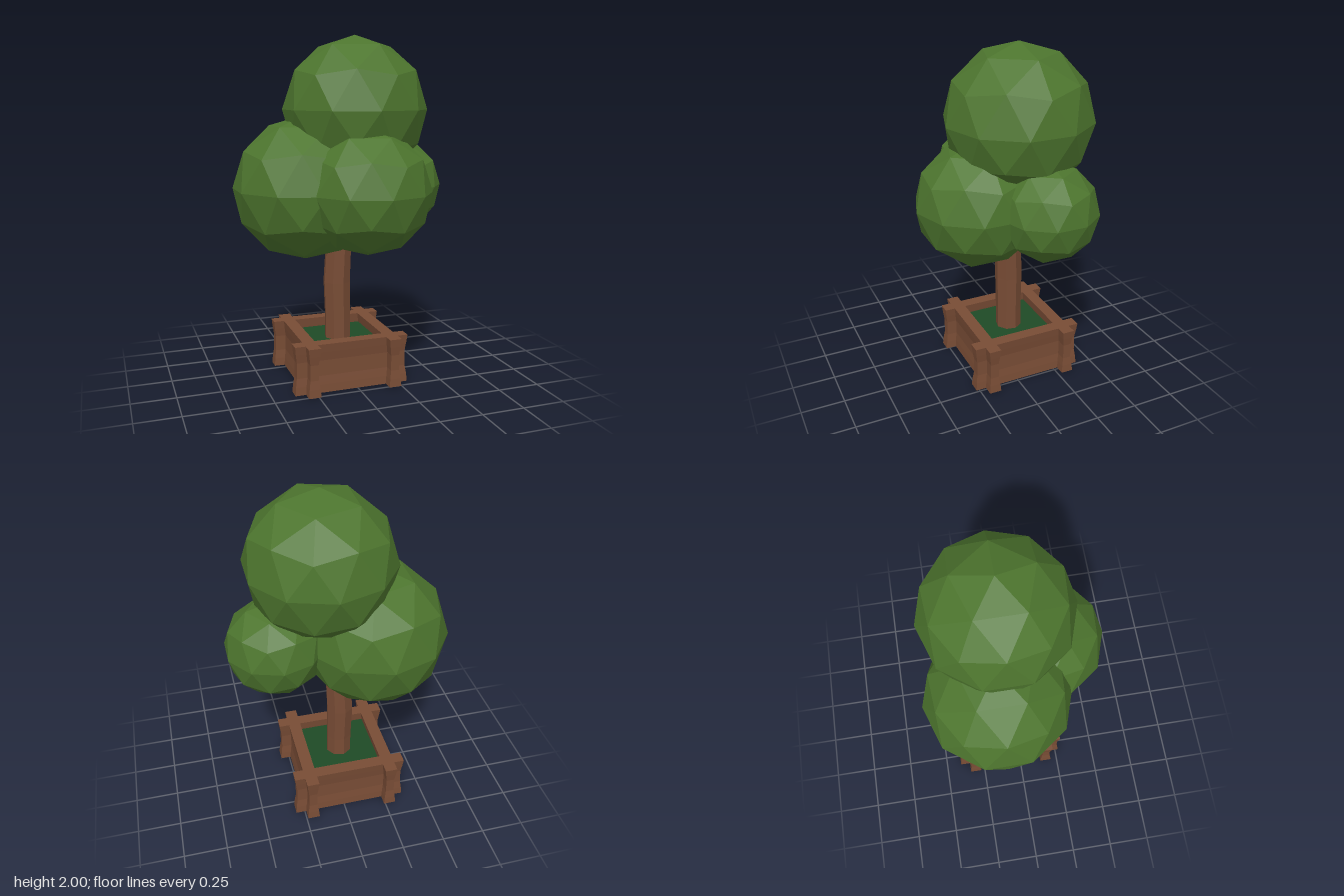
import * as THREE from 'three';

const flat = (name, color) =>
  Object.assign(new THREE.MeshStandardMaterial({ color, flatShading: true }), { name });

export function createModel() {
  const leaf = flat('leaf green', 0x4d752e);
  const wood = flat('wood brown', 0x784c35);
  const soil = flat('soil green', 0x1f4a26);

  const model = new THREE.Group();
  model.name = 'pottedTree';
  const add = (parent, name, geometry, material) => {
    const mesh = new THREE.Mesh(geometry, material);
    mesh.name = name;
    parent.add(mesh);
    return mesh;
  };

  // Crown: faceted balls with a corner of each at the very top
  const crown = new THREE.Group();
  crown.name = 'crown';
  model.add(crown);
  const ball = new THREE.IcosahedronGeometry(1, 1);
  ball.rotateZ(-Math.atan(2 / (1 + Math.sqrt(5))));
  ball.computeVertexNormals();
  const balls = [
    ['topFoliage', 0.42, 0.075, 1.58, -0.07],
    ['rightFoliage', 0.42, -0.215, 1.13, -0.115],
    ['frontFoliage', 0.36, 0.07, 1.13, 0.17],
    ['leftFoliage', 0.28, 0.345, 1.13, -0.12],
  ];
  for (const [name, r, x, y, z] of balls) {
    const mesh = add(crown, name, ball, leaf);
    mesh.scale.setScalar(r);
    mesh.position.set(x, y, z);
  }

  // Trunk: eight-sided column with a slight bend, rings as [y, radius, x, z]
  const rings = [
    [0.18, 0.079, -0.033, -0.068],
    [0.35, 0.077, -0.034, -0.067],
    [0.57, 0.081, -0.038, -0.069],
    [0.78, 0.078, -0.029, -0.063],
    [1.05, 0.074, -0.02, -0.06],
  ];
  const trunk = new THREE.CylinderGeometry(1, 1, 4, 8, 4);
  trunk.rotateY(0.2);
  const tp = trunk.attributes.position;
  for (let i = 0; i < tp.count; i++) {
    const [y, r, x, z] = rings[Math.round(tp.getY(i) + 2)];
    tp.setXYZ(i, x + tp.getX(i) * r, y, z + tp.getZ(i) * r);
  }
  trunk.computeVertexNormals();
  add(model, 'trunk', trunk, wood);

  // Planter: crossing planks with a narrowed waist, rows as [y, inset]
  const planter = new THREE.Group();
  planter.name = 'planter';
  planter.position.set(-0.035, 0, -0.068);
  model.add(planter);
  const rows = [[0.004, 0], [0.05, 0.004], [0.1, 0.011], [0.19, 0.012], [0.24, 0.005], [0.287, 0]];
  const plank = new THREE.BoxGeometry(0.676, 5, 0.072, 1, 5, 1);
  const pp = plank.attributes.position;
  for (let i = 0; i < pp.count; i++) {
    const [y, inset] = rows[Math.round(pp.getY(i) + 2.5)];
    const x = pp.getX(i), z = pp.getZ(i);
    pp.setXYZ(i, x - Math.sign(x) * inset, y, z - Math.sign(z) * inset);
  }
  plank.computeVertexNormals();
  ['frontPlank', 'leftPlank', 'backPlank', 'rightPlank'].forEach((name, i) => {
    const a = i * Math.PI / 2;
    const mesh = add(planter, name, plank, wood);
    mesh.rotation.y = a;
    mesh.position.set(Math.sin(a) * 0.241, 0, Math.cos(a) * 0.241);
  });

  // Floor and soil inside the planks
  add(planter, 'floor', new THREE.BoxGeometry(0.46, 0.03, 0.46), wood).position.y = 0.015;
  add(planter, 'soil', new THREE.BoxGeometry(0.44, 0.02, 0.44), soil).position.y = 0.22;

  return model;
}
